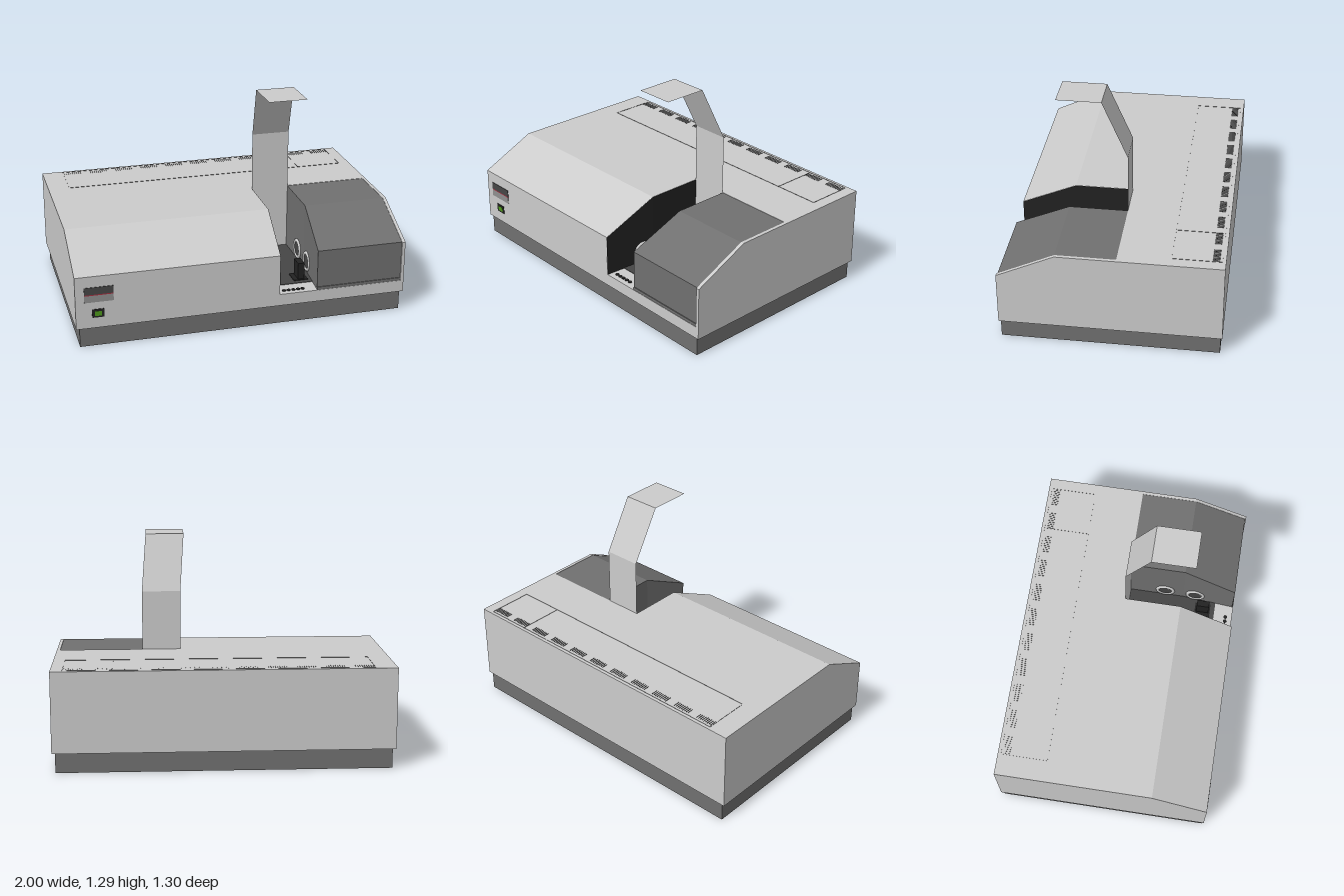
import * as THREE from 'three';
import { mergeGeometries } from 'three/addons/utils/BufferGeometryUtils.js';

const mat = (color, side = THREE.FrontSide) => new THREE.MeshStandardMaterial({ color, side });
const grey = mat(0xcccccc), greyThin = mat(0xcccccc, THREE.DoubleSide);
const dark = mat(0x707070), black = mat(0x222222), floorDark = mat(0x464646);

// Solid through rectangular sections [z, x0, x1, y0, y1], listed from back to front
function loft(sections) {
  const rings = sections.map(([z, x0, x1, y0, y1]) =>
    [[x0, y0, z], [x1, y0, z], [x1, y1, z], [x0, y1, z]]);
  const pos = [];
  const quad = (a, b, c, d) => [a, b, c, a, c, d].forEach(p => pos.push(...p));
  for (let i = 0; i < rings.length - 1; i++) {
    for (let j = 0; j < 4; j++) {
      const k = (j + 1) % 4;
      quad(rings[i][j], rings[i][k], rings[i + 1][k], rings[i + 1][j]);
    }
  }
  const [s, e] = [rings[0], rings[rings.length - 1]];
  quad(s[3], s[2], s[1], s[0]);
  quad(e[0], e[1], e[2], e[3]);
  const g = new THREE.BufferGeometry();
  g.setAttribute('position', new THREE.Float32BufferAttribute(pos, 3));
  g.computeVertexNormals();
  return g;
}

const FRONT = 0.65, BEND = 0.31, HINGE = -0.04, FLOOR = 0.19, LOW = 0.117, TOP = 0.6, NOSE = 0.44;

export function createModel() {
  const model = new THREE.Group();
  const add = (name, geometry, material, x = 0, y = 0, z = 0) => {
    const m = new THREE.Mesh(geometry, material);
    m.name = name;
    m.position.set(x, y, z);
    model.add(m);
    return m;
  };
  const box = (name, material, x0, x1, y0, y1, z0, z1) =>
    add(name, new THREE.BoxGeometry(x1 - x0, y1 - y0, z1 - z0), material,
      (x0 + x1) / 2, (y0 + y1) / 2, (z0 + z1) / 2);

  // Recessed plinth
  box('base', dark, -0.98, 0.98, 0, 0.13, -0.64, 0.64);

  // Housing with a sloping front and an open bay on its left
  add('housing', mergeGeometries([
    loft([[-FRONT, -1, 0.24, LOW, TOP], [HINGE, -1, 0.24, LOW, TOP],
      [BEND, -1, 0.24, LOW, TOP], [FRONT, -1, 0.215, LOW, NOSE]]),
    loft([[-FRONT, 0.24, 1, LOW, TOP], [HINGE, 0.24, 1, LOW, TOP]]),
    loft([[HINGE, 0.24, 1, LOW, FLOOR], [BEND, 0.24, 1, LOW, FLOOR], [FRONT, 0.215, 1, LOW, FLOOR]]),
    loft([[HINGE, 0.98, 1, FLOOR, TOP], [BEND, 0.98, 1, FLOOR, TOP], [FRONT, 0.98, 1, FLOOR, NOSE]]),
  ]), grey);

  // Dark cover filling the outer part of the bay
  add('sideCover', loft([[HINGE, 0.475, 0.98, FLOOR, TOP - 0.002],
    [BEND, 0.475, 0.98, FLOOR, TOP - 0.002], [0.643, 0.45, 0.98, FLOOR, NOSE]]), dark);
  box('coverSill', dark, 0.45, 0.98, FLOOR, 0.208, 0.63, 0.648);

  // Lining and floor of the narrow compartment
  add('compartmentWall', loft([[HINGE, 0.236, 0.242, FLOOR, TOP - 0.002],
    [BEND, 0.236, 0.242, FLOOR, TOP - 0.002], [FRONT - 0.001, 0.211, 0.217, FLOOR, NOSE - 0.002]]), black);
  add('compartmentFloor', loft([[HINGE, 0.24, 0.475, FLOOR, FLOOR + 0.003],
    [BEND, 0.24, 0.475, FLOOR, FLOOR + 0.003], [0.53, 0.224, 0.459, FLOOR, FLOOR + 0.003]]), floorDark);
  box('cellHolder', black, 0.38, 0.42, FLOOR, 0.3, 0.41, 0.49);
  box('cellHolderFoot', black, 0.352, 0.44, FLOOR, 0.198, 0.4, 0.5);
  for (let i = 0; i < 5; i++) {
    add('floorButton', new THREE.CylinderGeometry(0.012, 0.012, 0.004, 16), black,
      0.255 + i * 0.029, FLOOR + 0.002, 0.607);
  }

  // Port rings on both compartment walls
  for (const z of [0.19, 0.39]) {
    const shift = -0.025 * Math.max(0, z - BEND) / (FRONT - BEND);
    for (const [x, facing] of [[0.243, 1], [0.474, -1]]) {
      const ring = add('portRing', new THREE.TorusGeometry(0.052, 0.011, 8, 28), grey, x + shift, 0.262, z);
      ring.rotation.y = facing * Math.PI / 2;
      const port = add('port', new THREE.CircleGeometry(0.045, 28), floorDark,
        x + shift + facing * 0.004, 0.262, z);
      port.rotation.y = facing * Math.PI / 2;
    }
  }

  // Thin folded lid standing open: [z, y, x]
  const fold = [[HINGE, TOP, 0.24], [HINGE, 0.96, 0.24], [0.115, 1.295, 0.215], [0.38, 1.295, 0.215]];
  const lidPos = [];
  for (let i = 0; i < 3; i++) {
    const [[z0, y0, x0], [z1, y1, x1]] = [fold[i], fold[i + 1]];
    const a = [x0, y0, z0], b = [x0 + 0.235, y0, z0], c = [x1 + 0.235, y1, z1], d = [x1, y1, z1];
    [a, b, c, a, c, d].forEach(p => lidPos.push(...p));
  }
  const lid = new THREE.BufferGeometry();
  lid.setAttribute('position', new THREE.Float32BufferAttribute(lidPos, 3));
  lid.computeVertexNormals();
  add('openLid', lid, greyThin);

  // Upright fins for the rear vents and the seam of the rear panel
  const fins = [];
  const fin = (x0, z0, x1, z1, h = 0.004) => {
    const g = new THREE.PlaneGeometry(Math.hypot(x1 - x0, z1 - z0), h);
    g.rotateY(-Math.atan2(z1 - z0, x1 - x0));
    g.translate((x0 + x1) / 2, TOP + h / 2, (z0 + z1) / 2);
    fins.push(g);
  };
  for (let v = 0; v < 11; v++) {
    const cx = 0.87 - v * 0.168;
    for (let i = 0; i < 9; i++) {
      const x = cx - 0.052 + i * 0.013;
      fin(x, -0.615, x, -0.575);
    }
  }
  add('ventFins', mergeGeometries(fins), mat(0x555555, THREE.DoubleSide));
  fins.length = 0;
  fin(-0.87, -0.345, 0.93, -0.345, 0.002);
  fin(-0.87, -0.63, 0.93, -0.63, 0.002);
  for (const x of [-0.87, 0.645, 0.93]) fin(x, -0.63, x, -0.345, 0.002);
  add('panelSeam', mergeGeometries(fins), mat(0x555555, THREE.DoubleSide));

  // Front plate and power switch
  box('plateTop', floorDark, -0.948, -0.778, 0.328, 0.373, 0.645, 0.653);
  box('plateStripe', mat(0xa03040), -0.948, -0.778, 0.322, 0.328, 0.645, 0.653);
  box('plateBottom', mat(0x909090), -0.948, -0.778, 0.28, 0.322, 0.645, 0.653);
  box('switchFrame', black, -0.905, -0.835, 0.183, 0.235, 0.645, 0.653);
  box('switchRocker', mat(0x4f9a1c), -0.89, -0.85, 0.193, 0.222, 0.645, 0.655);

  return model;
}
